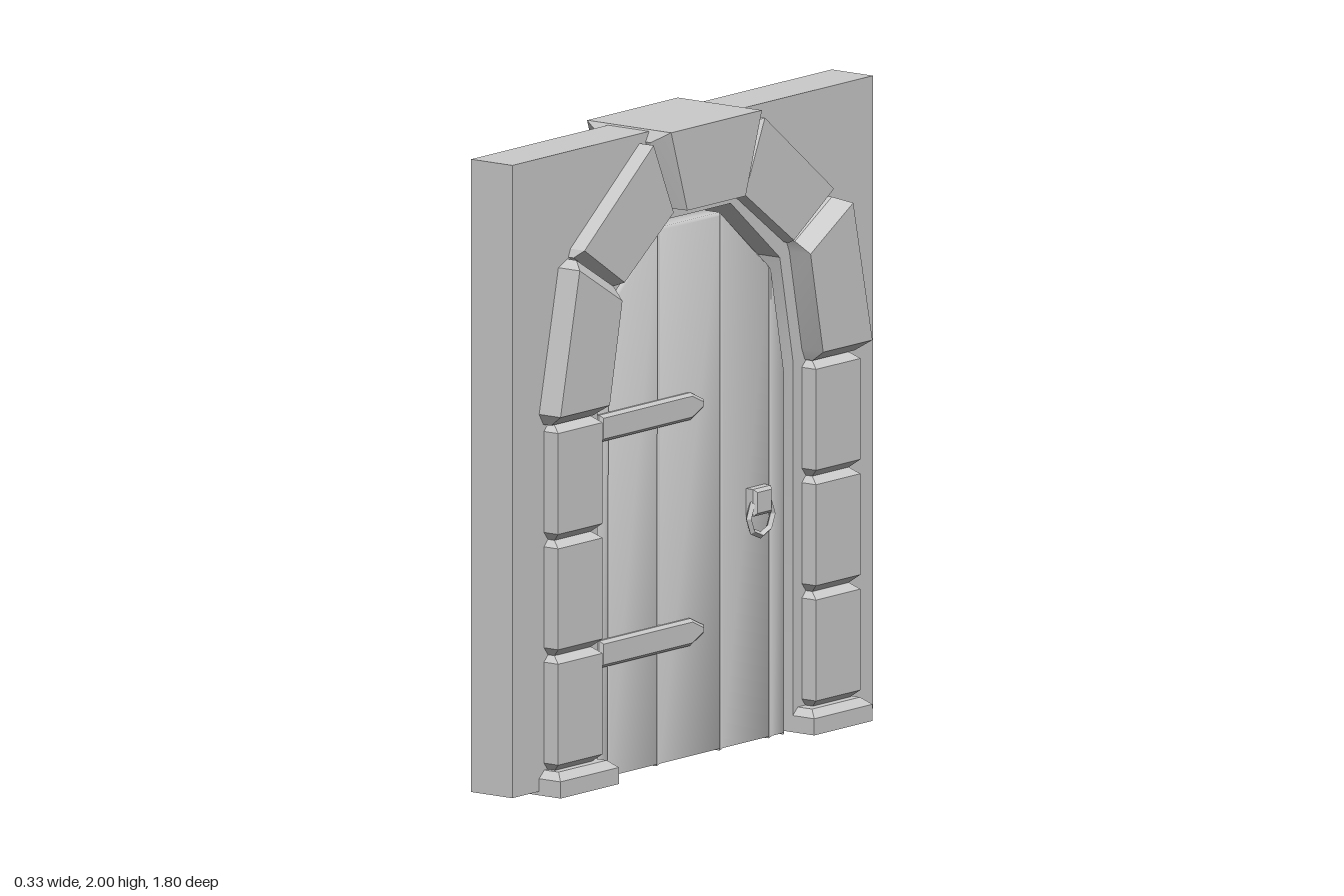
import * as THREE from 'three';
import { toCreasedNormals } from 'three/addons/utils/BufferGeometryUtils.js';

const MID = -0.0125; // z of the doorway's centre line
const DOOR_X = 0.021; // the door sits nearer the +x face of the wall
const material = new THREE.MeshStandardMaterial({ color: 0xcccccc, side: THREE.DoubleSide });

function mesh(name, geometry) {
  const m = new THREE.Mesh(geometry, material);
  m.name = name;
  return m;
}

// Mesh from loose triangles; undersides resting on the ground are left open
function solid(name, pos, crease = 0.3) {
  const kept = [];
  for (let i = 0; i < pos.length; i += 9) {
    if (Math.max(pos[i + 1], pos[i + 4], pos[i + 7]) > 0.022) kept.push(...pos.slice(i, i + 9));
  }
  const g = new THREE.BufferGeometry();
  g.setAttribute('position', new THREE.Float32BufferAttribute(kept, 3));
  return mesh(name, toCreasedNormals(g, crease));
}

// Closed stone lofted through sections [outerZ, outerY, innerZ, innerY, halfThickness]
function stone(name, sections) {
  const pos = [];
  const rings = sections.map(([oz, oy, iz, iy, h]) => [[h, oy, oz], [h, iy, iz], [-h, iy, iz], [-h, oy, oz]]);
  const quad = (a, b, c, d) => pos.push(...a, ...b, ...c, ...a, ...c, ...d);
  for (let r = 0; r < rings.length - 1; r++) {
    for (let i = 0; i < 4; i++) {
      const j = (i + 1) % 4;
      quad(rings[r][i], rings[r][j], rings[r + 1][j], rings[r + 1][i]);
    }
  }
  const [a, b, c, d] = rings[0];
  quad(d, c, b, a);
  quad(...rings[rings.length - 1]);
  return solid(name, pos);
}

// Reflect sections to the other side of the doorway
const mirror = (sections) =>
  sections.map(([oz, oy, iz, iy, h]) => [2 * MID - oz, oy, 2 * MID - iz, iy, h]).reverse();

// Slab from a (z, y) outline, running from -half to +half in x
function slab(name, points, half, bevel, crease) {
  const shape = new THREE.Shape(points.map(([z, y]) => new THREE.Vector2(z, y)));
  const depth = 2 * (half - bevel);
  const g = new THREE.ExtrudeGeometry(shape, {
    depth, bevelEnabled: bevel > 0, bevelThickness: bevel, bevelSize: bevel, bevelOffset: -bevel, bevelSegments: 1,
  });
  g.translate(0, 0, -depth / 2).rotateY(-Math.PI / 2);
  return solid(name, Array.from(g.attributes.position.array), crease);
}

export function createModel() {
  const model = new THREE.Group();
  model.name = 'archedDoorway';

  // Wall with arched opening down to the ground
  model.add(slab('wall', [
    [0.9, 0.02], [0.9, 1.995], [-0.9, 1.995], [-0.9, 0.02],
    [-0.5, 0.02], [-0.5, 1.17], [-0.435, 1.5], [-0.19, 1.707],
    [0.165, 1.707], [0.41, 1.5], [0.475, 1.17], [0.475, 0.02],
  ], 0.08, 0));

  // Stones on each side: base, three posts, two arch stones
  const sideStones = {
    baseStone: [
      [0.766, 0.008, 0.475, 0.008, 0.163], [0.766, 0.06, 0.475, 0.06, 0.163], [0.74, 0.083, 0.5, 0.083, 0.135],
    ],
    lowerArchStone: [
      [0.745, 1.162, 0.535, 1.162, 0.11], [0.766, 1.197, 0.52, 1.197, 0.163],
      [0.67, 1.64, 0.457, 1.513, 0.163], [0.625, 1.66, 0.44, 1.55, 0.115],
    ],
    upperArchStone: [
      [0.62, 1.665, 0.43, 1.545, 0.1], [0.61, 1.69, 0.41, 1.56, 0.135],
      [0.265, 1.965, 0.165, 1.74, 0.135], [0.235, 1.95, 0.15, 1.75, 0.1],
    ],
  };
  for (let i = 0; i < 3; i++) {
    const y = 0.08 + 0.36 * i;
    sideStones['postStone' + (i + 1)] = [
      [0.722, y, 0.54, y, 0.105], [0.742, y + 0.025, 0.52, y + 0.025, 0.135],
      [0.742, y + 0.34, 0.52, y + 0.34, 0.135], [0.722, y + 0.36, 0.54, y + 0.36, 0.105],
    ];
  }
  for (const [name, sections] of Object.entries(sideStones)) {
    model.add(stone(name + 'Front', sections), stone(name + 'Back', mirror(sections)));
  }

  // Keystone
  const half = [[0.235, 1.965, 0.16, 1.75, 0.1], [0.214, 2, 0.133, 1.745, 0.163]];
  model.add(stone('keystone', [...half, ...mirror(half)]));

  // Door planks, softly rounded and cut to the arch at the top
  const door = new THREE.Group();
  door.name = 'door';
  door.position.x = DOOR_X;
  const planks = [
    [[0.455, 0], [0.455, 1.18], [0.397, 1.47], [0.397, 0]],
    [[0.397, 0], [0.397, 1.47], [0.15, 1.68], [0.15, 0]],
    [[0.15, 0], [0.15, 1.68], [-0.165, 1.68], [-0.165, 0]],
    [[-0.165, 0], [-0.165, 1.68], [-0.41, 1.475], [-0.41, 0]],
    [[-0.41, 0], [-0.41, 1.475], [-0.485, 1.13], [-0.485, 0]],
  ];
  for (const p of planks) door.add(slab('plank', p, 0.043, 0.008, 1));

  // Strap hinges showing on both faces
  for (const y of [0.355, 1.06]) {
    door.add(slab('strapHinge', [
      [0.455, y], [0.455, y + 0.085], [0, y + 0.085], [-0.065, y + 0.055], [-0.065, y + 0.03], [0, y],
    ], 0.06, 0.01));
  }

  // Handle mounts and ring pulls on both faces
  door.add(slab('handleMount', [[-0.287, 0.715], [-0.287, 0.8], [-0.377, 0.8], [-0.377, 0.715]], 0.08, 0.01));
  for (const side of [1, -1]) {
    const torus = new THREE.TorusGeometry(0.06, 0.011, 4, 8).rotateY(Math.PI / 2);
    const ring = mesh('ringPull', toCreasedNormals(torus, 0.3));
    ring.position.set(side * 0.064, 0.71, -0.333);
    door.add(ring);
  }
  model.add(door);
  return model;
}
